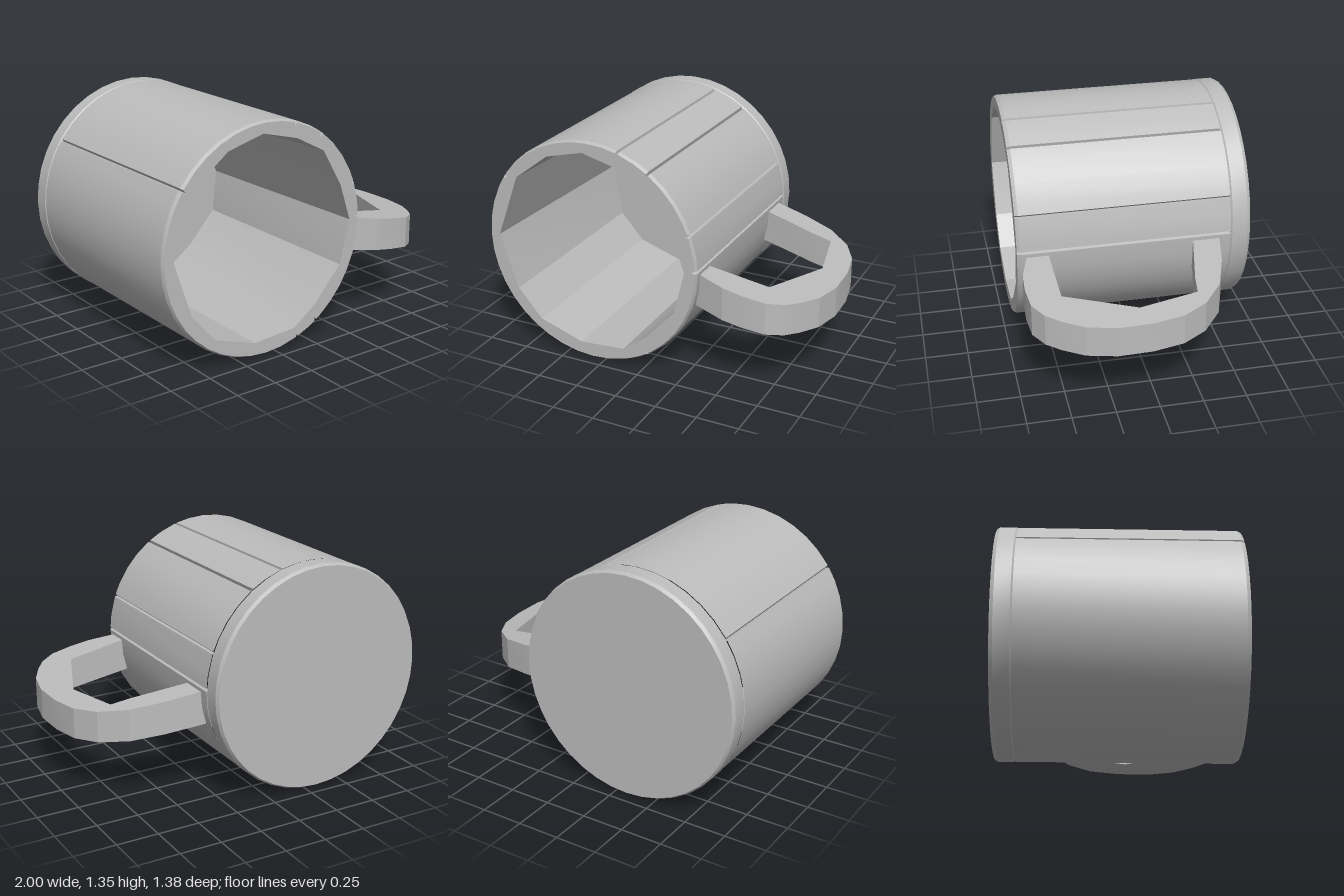
import * as THREE from 'three';
import { toCreasedNormals } from 'three/addons/utils/BufferGeometryUtils.js';

const CX = -0.325, CY = 0.675, R = 0.675;

// Surface between two rings of [x, y] points, back ring first; reverse both to face inward
function loft(back, zBack, front, zFront) {
  const pos = [];
  const n = back.length;
  for (let i = 0; i < n; i++) {
    const j = (i + 1) % n;
    const a = [...back[i], zBack], b = [...back[j], zBack];
    const c = [...front[j], zFront], d = [...front[i], zFront];
    pos.push(...a, ...b, ...c, ...a, ...c, ...d);
  }
  const g = new THREE.BufferGeometry();
  g.setAttribute('position', new THREE.Float32BufferAttribute(pos, 3));
  return toCreasedNormals(g, 0.3);
}

const vecs = (pts) => pts.map(([x, y]) => new THREE.Vector2(x, y));

// Outer ring of the wall, notched by narrow seams at the given angles
function wallRing(radius, seams) {
  const pts = [];
  for (let deg = 0; deg < 360; deg += 9) pts.push([deg, radius]);
  const kept = pts.filter(([d]) => seams.every((s) => Math.abs(d - s) > 2));
  for (const s of seams) kept.push([s - 0.7, radius], [s, radius - 0.02], [s + 0.7, radius]);
  return kept.sort((p, q) => p[0] - q[0]).map(([d, r]) => {
    const t = THREE.MathUtils.degToRad(d);
    return [CX + r * Math.cos(t), CY + r * Math.sin(t)];
  });
}

export function createModel() {
  const group = new THREE.Group();
  const grey = new THREE.MeshStandardMaterial({ color: 0xbcbcbc });
  grey.name = 'grey';
  const add = (name, geometry) => {
    const mesh = new THREE.Mesh(geometry, grey);
    mesh.name = name;
    group.add(mesh);
    return mesh;
  };

  // Outer wall with seams and a slightly rounded lip
  const seams = [1.5, 20, 55, 73, 145, 290, 303];
  const wall = wallRing(R - 0.002, seams);
  const lip = wallRing(R - 0.012, seams);
  add('outerWall', loft(wall, -0.57, wall, 0.67));
  add('lipEdge', loft(wall, 0.67, lip, 0.69));

  // Faceted inside, narrowing toward the floor in its upper half
  const lower = [[-0.82, 0.35], [-0.67, 0.18], [-0.40, 0.09], [-0.12, 0.11], [0.03, 0.22], [0.21, 0.42]];
  const mouth = [...lower, [0.275, 0.68], [0.20, 0.90], [0.07, 1.12], [-0.12, 1.22],
    [-0.35, 1.28], [-0.58, 1.22], [-0.79, 1.06], [-0.93, 0.68]];
  const bottom = [...lower, [0.24, 0.68], [0.14, 0.89], [0.05, 1.10], [-0.15, 1.175],
    [-0.35, 1.25], [-0.55, 1.155], [-0.74, 1.06], [-0.88, 0.68]];
  add('innerWall', loft([...bottom].reverse(), -0.57, [...mouth].reverse(), 0.69));
  add('innerFloor', new THREE.ShapeGeometry(new THREE.Shape(vecs(bottom)))).position.z = -0.57;

  // Flat rim around the mouth
  const rim = new THREE.Shape(vecs(lip));
  rim.holes.push(new THREE.Path(vecs(mouth)));
  add('rim', new THREE.ShapeGeometry(rim)).position.z = 0.69;

  // Solid base disc with a softened back edge
  const profile = [[0, -0.69], [R - 0.012, -0.69], [R, -0.67], [R, -0.58], [R - 0.01, -0.57], [0.6, -0.571]];
  const base = new THREE.LatheGeometry(vecs(profile), 40);
  base.rotateX(Math.PI / 2);
  add('base', toCreasedNormals(base, 0.3)).position.set(CX, CY, 0);

  // Handle outline in x and z, drawn as one bent band
  const outline = [[0.30, -0.51], [0.36, -0.50], [0.55, -0.46], [0.74, -0.395], [0.88, -0.28], [0.96, -0.14],
    [0.995, 0.04], [1.0, 0.24], [0.965, 0.41], [0.90, 0.53], [0.84, 0.61], [0.75, 0.67], [0.62, 0.685],
    [0.50, 0.68], [0.36, 0.64], [0.30, 0.62],
    [0.30, 0.51], [0.70, 0.495], [0.86, 0.09], [0.785, -0.255], [0.67, -0.27], [0.36, -0.34], [0.30, -0.35]];
  const handle = new THREE.ExtrudeGeometry(
    new THREE.Shape(vecs(outline.map(([x, z]) => [x, -z]))), { depth: 1, bevelEnabled: false });
  handle.translate(0, 0, -0.5);
  handle.rotateX(-Math.PI / 2);
  // Slope the band down and thin it away from the wall
  const p = handle.attributes.position;
  for (let i = 0; i < p.count; i++) {
    const t = (p.getX(i) - 0.36) / 0.64;
    p.setY(i, 0.56 - 0.1 * t + p.getY(i) * (0.2 - 0.02 * t));
  }
  add('handle', toCreasedNormals(handle, 0.2));

  return group;
}
